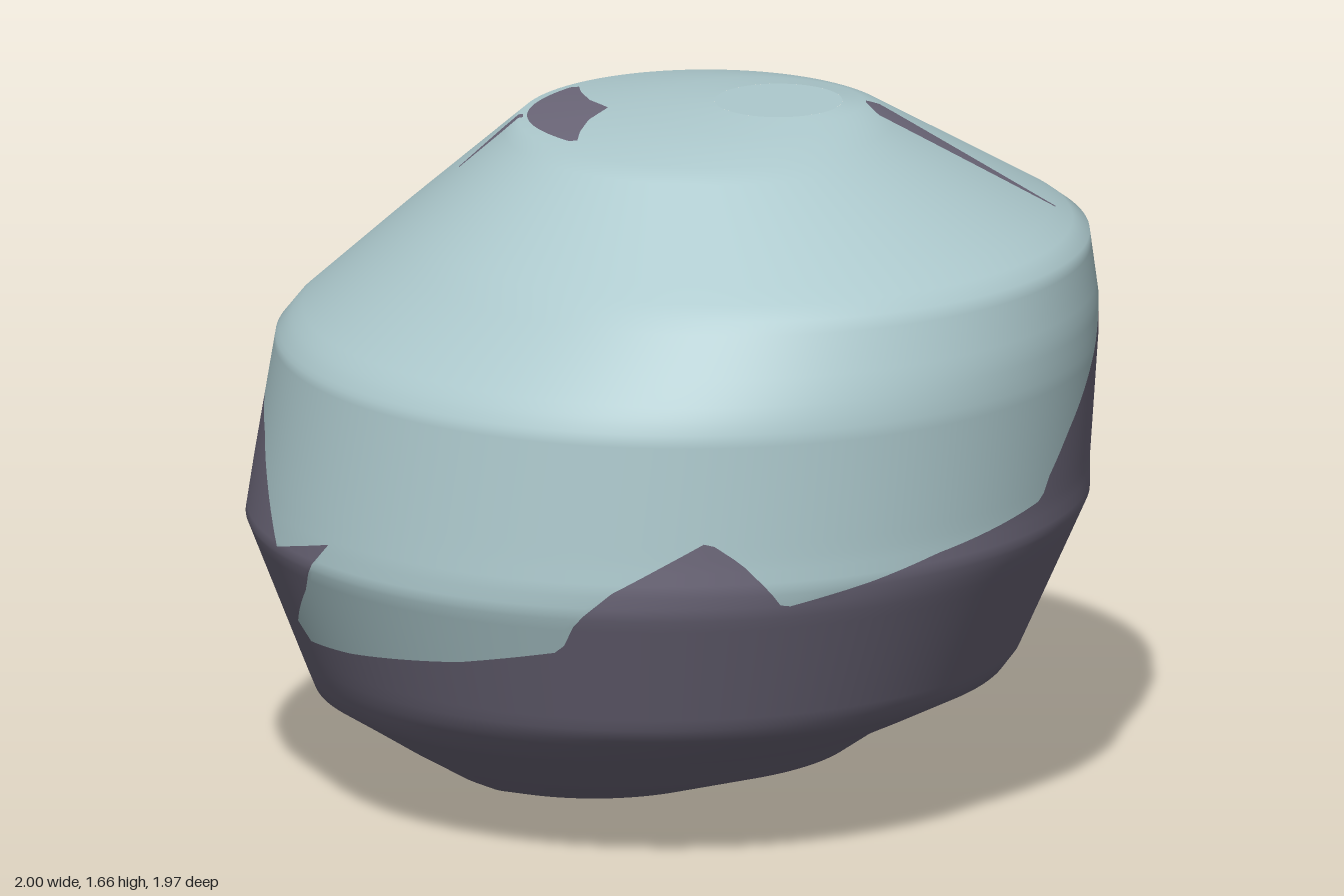
import * as THREE from 'three';

const TOP = 1.665;
// Left and right extents [y, x]; every horizontal slice is a circle between them
const LEFT = [[0, -0.43], [0.26, -0.84], [0.31, -0.86], [0.67, -1], [0.8, -0.98], [1.1, -0.93],
  [1.15, -0.89], [1.62, -0.36], [1.66, 0.04], [TOP, 0.1]];
const RIGHT = [[0, -0.3], [0.06, 0.16], [0.14, 0.44], [0.21, 0.54], [0.33, 0.79], [0.37, 0.82],
  [0.73, 0.98], [0.8, 0.98], [1.1, 1], [1.2, 1], [1.35, 0.98], [1.38, 0.94], [1.66, 0.45], [TOP, 0.4]];

// Colour borders [degrees from +x, y], mirrored front to back
const BASE_EDGE = [[0, 1.16], [4, 1.13], [12, 1.04], [20, 0.95], [25.5, 0.87], [27.5, 0.82], [50, 0.77],
  [73, 0.685], [80, 0.8], [85, 0.855], [97.5, 0.73], [102, 0.64], [104, 0.57], [121, 0.51], [144, 0.46],
  [157.5, 0.44], [160.5, 0.48], [180, 0.48]];
const TONGUE_LOW = [[0, 0.74], [144, 0.74], [151, 0.6], [160.5, 0.48], [180, 0.48]];
const TONGUE_HIGH = [[0, 0.74], [144, 0.74], [157.5, 0.68], [165, 0.8], [172, 0.9], [180, 0.95]];

function lerpTable(table, v) {
  if (v <= table[0][0]) return table[0][1];
  for (let i = 1; i < table.length; i++) {
    const [a, p] = table[i - 1], [b, q] = table[i];
    if (v <= b) return p + (q - p) * (v - a) / (b - a);
  }
  return table[table.length - 1][1];
}

const slice = (y) => {
  const l = lerpTable(LEFT, y), r = lerpTable(RIGHT, y);
  return { c: (l + r) / 2, r: (r - l) / 2 };
};

// Row heights: even spacing plus every bend of the profile
const LEVELS = [...new Set([...Array.from({ length: 56 }, (_, i) => i * 0.03),
  ...LEFT.map((p) => p[0]), ...RIGHT.map((p) => p[0])])].sort((a, b) => a - b);

function makeGeometry(pos, index, normals) {
  const g = new THREE.BufferGeometry();
  g.setAttribute('position', new THREE.Float32BufferAttribute(pos, 3));
  g.setIndex(index);
  if (normals) g.setAttribute('normal', new THREE.Float32BufferAttribute(normals, 3));
  else g.computeVertexNormals();
  return g;
}

// Part of the body skin between two border heights given per angle
function band(low, high) {
  const COLS = 240, rows = LEVELS.length, H = 0.02;
  const pos = [], nor = [], index = [], n = new THREE.Vector3();
  for (let i = 0; i <= COLS; i++) {
    const deg = i * 360 / COLS, t = deg * Math.PI / 180, fold = Math.min(deg, 360 - deg);
    const lo = low(fold), hi = Math.max(lo, high(fold));
    for (const level of LEVELS) {
      const y = Math.min(hi, Math.max(lo, level)), s = slice(y);
      const ya = Math.max(0, y - H), yb = Math.min(TOP, y + H), sa = slice(ya), sb = slice(yb);
      const dc = (sb.c - sa.c) / (yb - ya), dr = (sb.r - sa.r) / (yb - ya);
      pos.push(s.c + s.r * Math.cos(t), y, s.r * Math.sin(t));
      n.set(Math.cos(t), -(dc * Math.cos(t) + dr), Math.sin(t)).normalize();
      nor.push(n.x, n.y, n.z);
    }
  }
  const y = (k) => pos[k * 3 + 1];
  for (let i = 0; i < COLS; i++) {
    for (let j = 0; j < rows - 1; j++) {
      const a = i * rows + j, b = a + rows;
      if (y(a + 1) > y(a)) index.push(a, a + 1, b);
      if (y(b + 1) > y(b)) index.push(a + 1, b + 1, b);
    }
  }
  return makeGeometry(pos, index, nor);
}

// Height of the upper skin above a ground point
function heightAt(x, z) {
  let lo = 1.15, hi = TOP;
  for (let i = 0; i < 30; i++) {
    const mid = (lo + hi) / 2, s = slice(mid);
    if (Math.hypot(x - s.c, z) <= s.r) lo = mid; else hi = mid;
  }
  return lo;
}

// Thin patch draped on the upper skin; edge(k) returns two opposite border points [x, z]
function drape(edge) {
  const N = 28, M = 8, pos = [], index = [];
  for (let i = 0; i <= N; i++) {
    const [p, q] = edge(i / N);
    for (let j = 0; j <= M; j++) {
      const x = p[0] + (q[0] - p[0]) * j / M, z = p[1] + (q[1] - p[1]) * j / M;
      pos.push(x, heightAt(x, z) + 0.006, z);
      if (i < N && j < M) {
        const a = i * (M + 1) + j, b = a + M + 1;
        index.push(a, b, a + 1, a + 1, b, b + 1);
      }
    }
  }
  return makeGeometry(pos, index);
}

// Narrow streak along x with half widths [x, w]
const streak = (widths) => drape((k) => {
  const x0 = widths[0][0], x = x0 + (widths[widths.length - 1][0] - x0) * k;
  const w = lerpTable(widths, x);
  return [[x, w], [x, -w]];
});

export function createModel() {
  const group = new THREE.Group();
  const pale = new THREE.MeshStandardMaterial({ color: 0xadc9cd });
  pale.name = 'paleTeal';
  const dusk = new THREE.MeshStandardMaterial({ color: 0x6c6779 });
  dusk.name = 'duskyPurple';
  const add = (name, geometry, material) => {
    const mesh = new THREE.Mesh(geometry, material);
    mesh.name = name;
    group.add(mesh);
    return mesh;
  };

  const base = (d) => lerpTable(BASE_EDGE, d);
  const under = (d) => Math.max(base(d), lerpTable(TONGUE_LOW, d));
  const over = (d) => Math.max(under(d), lerpTable(TONGUE_HIGH, d));

  // Body skin, split along the colour borders
  add('lowerBody', band(() => 0, base), dusk);
  add('palePocket', band(base, under), pale);
  add('sideTongue', band(under, over), dusk);
  add('upperBody', band(over, () => TOP), pale);

  // Flat caps
  for (const [name, y, dir, material] of [['topCap', TOP, -1, pale], ['bottomCap', 0, 1, dusk]]) {
    const s = slice(y);
    const cap = add(name, new THREE.CircleGeometry(s.r, 60), material);
    cap.rotation.x = dir * Math.PI / 2;
    cap.position.set(s.c, y, 0);
  }

  // Painted patches on top
  add('crescentPatch', drape((k) => {
    const z = -0.24 + 0.48 * k, a = Math.abs(z);
    return [[-0.34 + 0.1 * (a / 0.24) ** 2, z],
      [lerpTable([[0, -0.15], [0.09, -0.195], [0.18, -0.215], [0.24, -0.22]], a), z]];
  }), dusk);
  add('longStreak', streak([[0.455, 0.008], [0.485, 0.05], [0.53, 0.045], [0.9, 0.004]]), dusk);
  add('shortStreak', streak([[-0.5, 0.004], [-0.4, 0.015], [-0.35, 0.015]]), dusk);
  return group;
}
